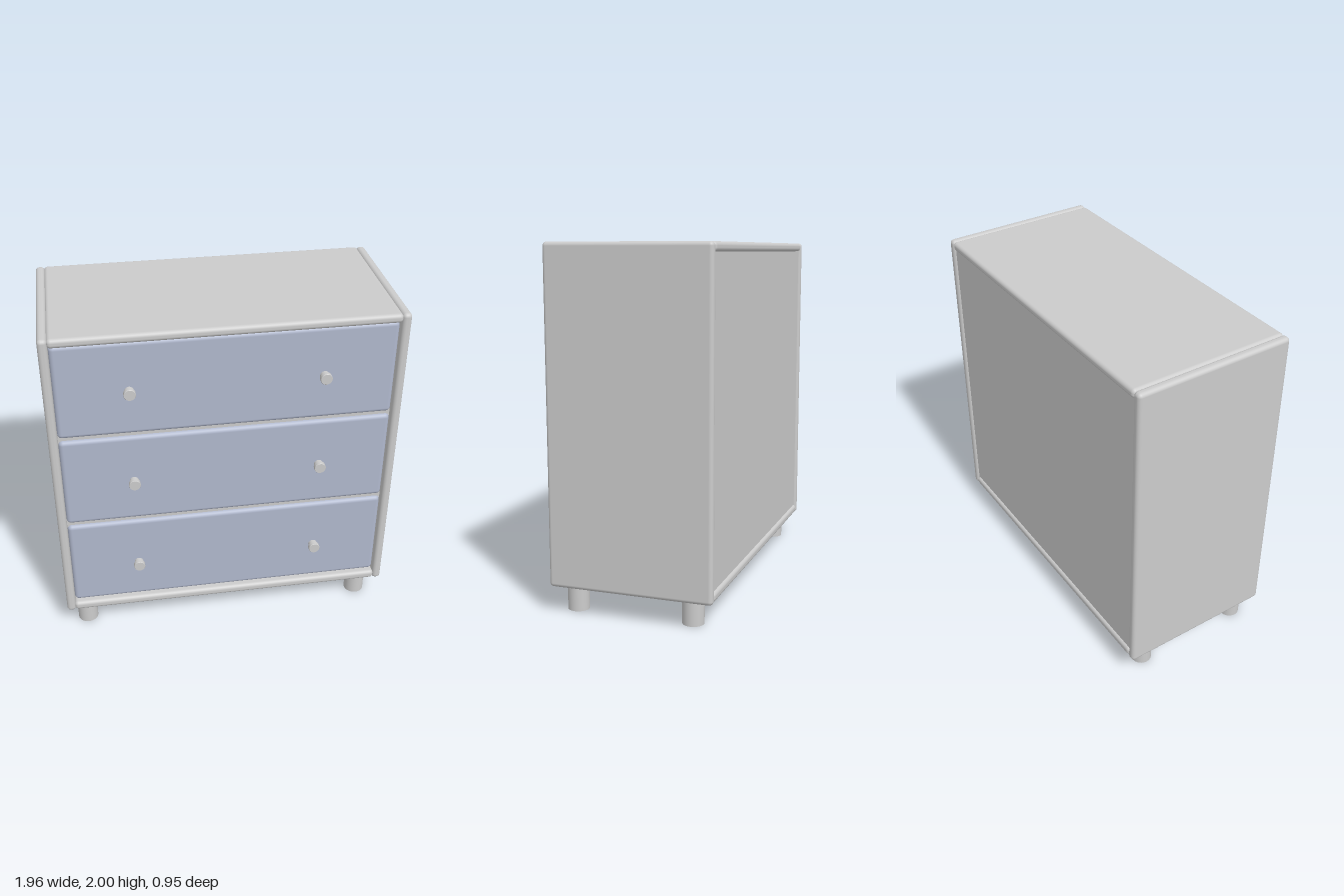
import * as THREE from 'three';
import { RoundedBoxGeometry } from 'three/addons/geometries/RoundedBoxGeometry.js';

const grey = new THREE.MeshStandardMaterial({ color: 0xcccccc });
const blue = new THREE.MeshStandardMaterial({ color: 0xb0b8cd });

export function createModel() {
  const model = new THREE.Group();
  const add = (name, geometry, x, y, z, material = grey) => {
    const mesh = new THREE.Mesh(geometry, material);
    mesh.name = name;
    mesh.position.set(x, y, z);
    model.add(mesh);
    return mesh;
  };
  // Softly rounded board given by its limits on each axis
  const board = (name, [x0, x1], [y0, y1], [z0, z1], radius, material) =>
    add(name, new RoundedBoxGeometry(x1 - x0, y1 - y0, z1 - z0, 4, radius),
      (x0 + x1) / 2, (y0 + y1) / 2, (z0 + z1) / 2, material);

  // Carcass
  const depth = [-0.475, 0.453];
  board('leftSidePanel', [0.928, 0.98], [0.152, 2], depth, 0.022);
  board('rightSidePanel', [-0.98, -0.928], [0.152, 2], depth, 0.022);
  board('topPanel', [-0.933, 0.933], [1.948, 2], depth, 0.022);
  board('bottomPanel', [-0.933, 0.933], [0.155, 0.21], depth, 0.022);
  add('backPanel', new THREE.BoxGeometry(1.87, 1.76, 0.02), 0, 1.08, -0.45);

  // Rails between the drawers
  for (const y of [0.788, 1.372])
    add('drawerRail', new THREE.BoxGeometry(1.87, 0.05, 0.86), 0, y, -0.025);

  // Knob with a waisted stem, turned around its own axis
  const knobProfile = [[0, 0], [0.026, 0], [0.026, 0.035], [0.033, 0.039], [0.033, 0.061], [0.031, 0.064], [0, 0.064]];
  const knobParts = knobProfile.slice(1).map((p, i) => [knobProfile[i], p]);
  const makeKnob = (x, y) => {
    const knob = new THREE.Group();
    knob.name = 'knob';
    // One lathe per profile segment keeps the turned edges crisp
    for (const segment of knobParts) {
      const points = segment.map(([r, h]) => new THREE.Vector2(r, h));
      const mesh = new THREE.Mesh(new THREE.LatheGeometry(points, 24), grey);
      mesh.name = 'knobSurface';
      knob.add(mesh);
    }
    knob.rotation.x = Math.PI / 2;
    knob.position.set(x, y, 0.411);
    model.add(knob);
  };

  // Drawers, each with a pair of knobs
  const drawers = [[0.212, 0.778, 0.47], [0.799, 1.362, 1.067], [1.382, 1.946, 1.655]];
  for (const [bottom, top, knobY] of drawers) {
    board('drawerFront', [-0.928, 0.928], [bottom, top], [0.36, 0.425], 0.025, blue);
    for (const side of [-1, 1]) makeKnob(side * 0.53, knobY);
  }

  // Round feet
  const foot = new THREE.CylinderGeometry(0.06, 0.06, 0.16, 32);
  for (const x of [-0.86, 0.847])
    for (const z of [-0.33, 0.34]) add('foot', foot, x, 0.08, z);

  return model;
}
